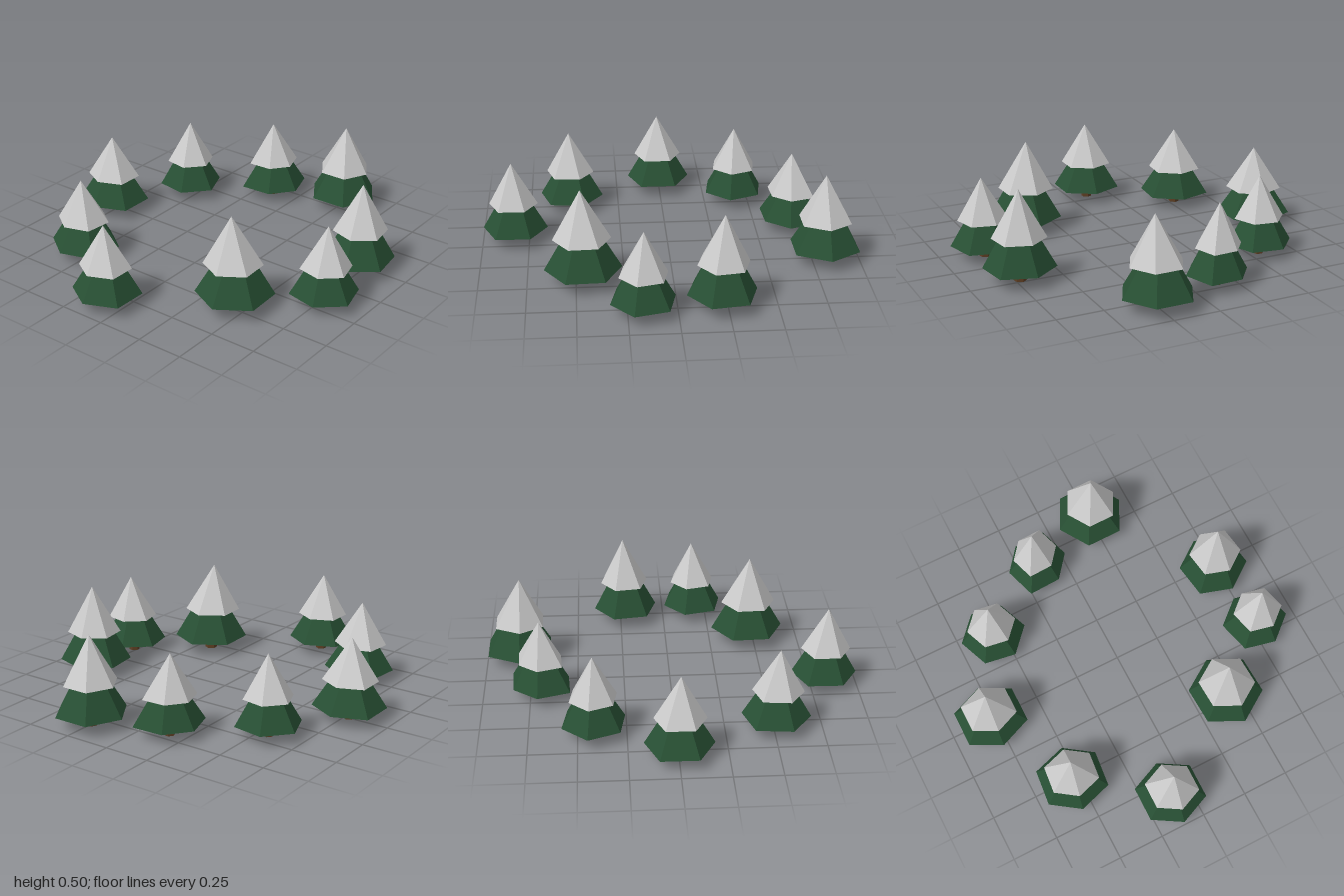
import * as THREE from 'three';

const material = (color) => new THREE.MeshStandardMaterial({ color, flatShading: true });

// Six-sided tapered layer; opposite corners share one of three radii.
function layer(radii, degrees, y0, y1, taper, lean = [0, 0]) {
  const geo = new THREE.CylinderGeometry(taper, 1, y1 - y0, 6);
  geo.rotateY(Math.PI / 6);
  const p = geo.attributes.position;
  for (let i = 0; i < p.count; i++) {
    const corner = Math.round(Math.atan2(p.getZ(i), p.getX(i)) / (Math.PI / 3));
    const r = radii[(corner + 6) % 3];
    p.setX(i, p.getX(i) * r);
    p.setZ(i, p.getZ(i) * r);
  }
  geo.rotateY(-THREE.MathUtils.degToRad(degrees));
  // slide the tip sideways
  for (let i = 0; i < p.count; i++) {
    if (p.getY(i) > 0) p.setXYZ(i, p.getX(i) + lean[0], p.getY(i), p.getZ(i) + lean[1]);
  }
  geo.translate(0, (y0 + y1) / 2, 0);
  geo.computeVertexNormals();
  return geo;
}

// x, z, height, turn in degrees, corner radii, tip offset
const trees = [
  [0.247, -0.82, 0.478, -2, [0.193, 0.199, 0.193], [0.01, 0.012]],
  [-0.151, -0.692, 0.432, 6, [0.167, 0.159, 0.19], [-0.01, 0]],
  [-0.557, -0.418, 0.432, 10, [0.18, 0.172, 0.175], [0.003, 0]],
  [-0.774, 0.005, 0.435, 32, [0.2, 0.177, 0.193], [0, 0.007]],
  [-0.537, 0.514, 0.435, 38, [0.196, 0.177, 0.188], [-0.003, 0.012]],
  [-0.109, 0.823, 0.438, 33, [0.19, 0.175, 0.182], [0, 0.012]],
  [0.425, 0.462, 0.5, 27, [0.201, 0.201, 0.204], [-0.018, 0.008]],
  [0.769, 0.173, 0.437, 16, [0.18, 0.169, 0.18], [0.01, -0.005]],
  [0.724, -0.222, 0.491, 21, [0.19, 0.18, 0.193], [0.003, -0.01]],
];

export function createModel() {
  const group = new THREE.Group();
  group.name = 'treeRing';
  const bark = material(0x5c3d22);
  const needles = material(0x285034);
  const snow = material(0xcccccc);

  for (const [x, z, h, turn, radii, lean] of trees) {
    const tree = new THREE.Group();
    tree.name = 'tree';
    tree.position.set(x, 0, z);
    const add = (name, geo, mat) => {
      const mesh = new THREE.Mesh(geo, mat);
      mesh.name = name;
      tree.add(mesh);
      return mesh;
    };
    const trunkR = 0.068 * h;
    add('trunk', layer([trunkR, trunkR, trunkR], turn, 0, 0.2 * h, 0.85), bark);
    add('lowerBranches', layer(radii, turn, 0.145 * h, 0.53 * h, 0.45), needles);
    // snowy crown overhangs the branches below it
    const crown = add('snowCrown', layer(radii.map((r) => r * 0.75), turn, 0.47 * h, h, 0, lean.map((v) => v / 2)), snow);
    crown.position.set(lean[0] / 2, 0, lean[1] / 2);
    group.add(tree);
  }
  return group;
}
